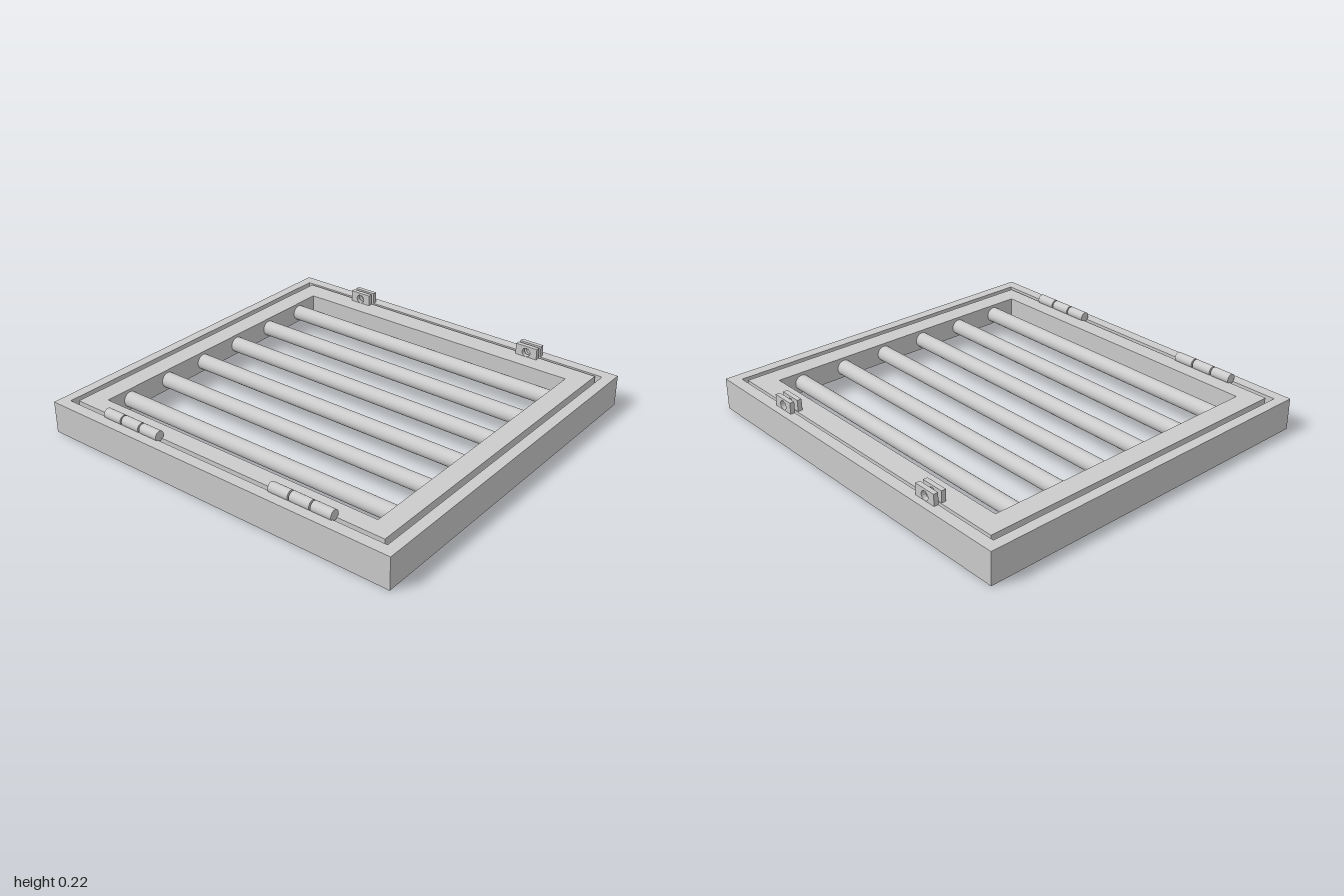
import * as THREE from 'three';

const TOP = 0.165;

export function createModel() {
  const model = new THREE.Group();
  const material = new THREE.MeshStandardMaterial({ color: 0xcccccc });

  function add(name, geometry, x = 0, y = 0, z = 0) {
    const mesh = new THREE.Mesh(geometry, material);
    mesh.name = name;
    mesh.position.set(x, y, z);
    model.add(mesh);
  }

  function rectangle(x0, x1, y0, y1, Path = THREE.Shape) {
    const path = new Path();
    path.moveTo(x0, y0);
    path.lineTo(x1, y0);
    path.lineTo(x1, y1);
    path.lineTo(x0, y1);
    path.closePath();
    return path;
  }

  // Rectangular ring lying flat, its top level with TOP
  function flatFrame(outer, inner, height) {
    const shape = rectangle(...outer);
    shape.holes.push(rectangle(...inner, THREE.Path));
    return new THREE.ExtrudeGeometry(shape, { depth: height, bevelEnabled: false })
      .rotateX(-Math.PI / 2)
      .translate(0, TOP - height, 0);
  }

  // Fixed surround and the thinner gate inside it
  add('outerFrame', flatFrame([-0.96, 0.957, -1, 1], [-0.902, 0.898, -0.943, 0.947], TOP));
  add('gateFrame', flatFrame([-0.878, 0.883, -0.912, 0.915], [-0.786, 0.767, -0.809, 0.811], 0.11));

  // Round bars across the gate opening
  const bar = new THREE.CylinderGeometry(0.04, 0.04, 1.64, 32).rotateX(Math.PI / 2);
  for (let i = 0; i < 6; i++) add('bar' + (i + 1), bar, -0.646 + i * 0.2563, 0.11, 0);

  // Two hinges of three knuckles each
  const knuckle = new THREE.CylinderGeometry(0.026, 0.026, 0.109, 32).rotateX(Math.PI / 2);
  for (const [side, z] of [['back', -0.523], ['front', 0.493]]) {
    for (const i of [-1, 0, 1]) add(side + 'HingeKnuckle', knuckle, -0.889, 0.181, z + i * 0.117);
  }

  // Padlock lugs: a pierced plate on the gate and one on the surround
  const plate = rectangle(-0.061, 0.061, -0.005, 0.059);
  const hole = new THREE.Path();
  hole.absarc(0, 0.024, 0.023, 0, Math.PI * 2, true);
  plate.holes.push(hole);
  const lug = new THREE.ExtrudeGeometry(plate, { depth: 0.024, bevelEnabled: false, curveSegments: 24 })
    .rotateY(Math.PI / 2);
  for (const [side, z] of [['back', -0.541], ['front', 0.53]]) {
    add(side + 'GateLug', lug, 0.855, TOP, z);
    add(side + 'FrameLug', lug, 0.896, TOP, z);
  }

  return model;
}
